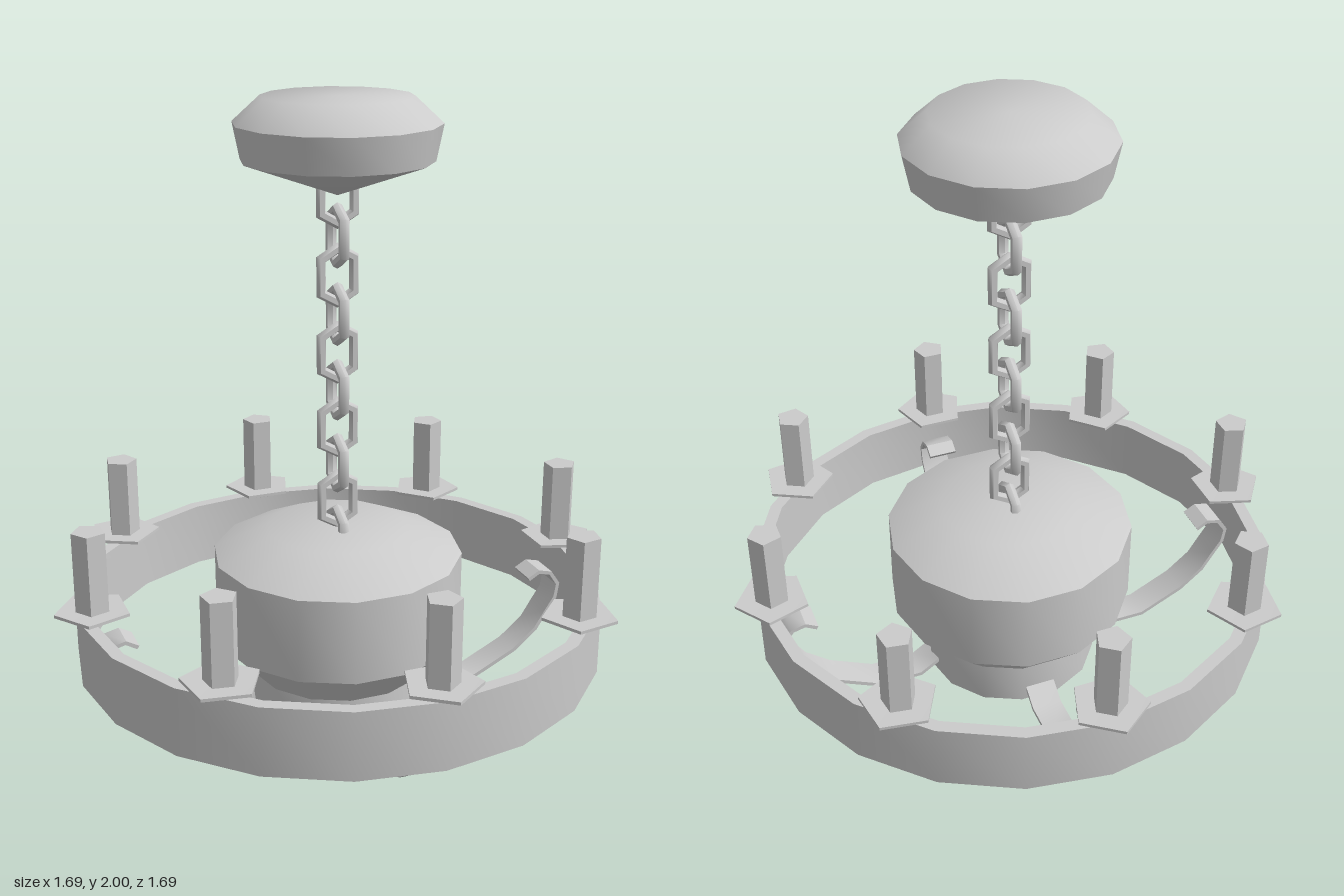
import * as THREE from 'three';
import { toCreasedNormals } from 'three/addons/utils/BufferGeometryUtils.js';

const material = new THREE.MeshStandardMaterial({ color: 0xcccccc });

function part(name, geometry, parent) {
  const mesh = new THREE.Mesh(geometry, material);
  mesh.name = name;
  parent.add(mesh);
  return mesh;
}

// Turned solid; profile runs from the bottom up along the outside
function turned(profile, sides, crease, start = 0) {
  const points = profile.map(([r, y]) => new THREE.Vector2(r, y));
  return toCreasedNormals(new THREE.LatheGeometry(points, sides, start), crease);
}

// Flat metal strip bent along a path in the (radius, height) plane
function strip(path, thickness, width) {
  const points = path.map(([r, y]) => new THREE.Vector2(r, y));
  const sides = [1, -1].map((s) => points.map((p, i) => {
    const a = points[Math.max(i - 1, 0)];
    const b = points[Math.min(i + 1, points.length - 1)];
    const d = b.clone().sub(a).normalize();
    return new THREE.Vector2(p.x - d.y * s * thickness / 2, p.y + d.x * s * thickness / 2);
  }));
  const shape = new THREE.Shape([...sides[0], ...sides[1].reverse()]);
  const geometry = new THREE.ExtrudeGeometry(shape, { depth: width, bevelEnabled: false });
  geometry.translate(0, 0, -width / 2);
  return toCreasedNormals(geometry, 0.75);
}

// Stretched six-sided chain link standing in the xy plane
function linkGeometry() {
  const geometry = new THREE.TorusGeometry(0.056, 0.016, 6, 6);
  geometry.rotateZ(Math.PI / 6);
  const pos = geometry.attributes.position;
  for (let i = 0; i < pos.count; i++) {
    pos.setY(i, pos.getY(i) + Math.sign(pos.getY(i)) * 0.02);
  }
  return toCreasedNormals(geometry, 1.1);
}

export function createModel() {
  const model = new THREE.Group();
  model.name = 'chandelier';

  // Ceiling canopy
  part('canopy', turned(
    [[0, 1.735], [0.265, 1.83], [0.285, 1.93], [0.208, 2], [0, 2]],
    14, 0.8, Math.PI / 2), model);

  // Chain of links turned a quarter each time
  const chain = new THREE.Group();
  chain.name = 'chain';
  model.add(chain);
  const link = linkGeometry();
  for (let i = 0; i < 10; i++) {
    const mesh = part('chainLink', link, chain);
    mesh.position.y = 0.74 + i * 0.1105;
    mesh.rotation.y = i % 2 ? 0 : Math.PI / 2;
  }

  // Central body with a pointed base
  part('centralBody', turned(
    [[0, 0], [0.262, 0.2], [0.262, 0.33], [0.365, 0.44], [0.365, 0.69], [0.205, 0.765], [0, 0.765]],
    14, 0.6, Math.PI / 2), model);

  // Outer band
  part('ring', turned(
    [[0.738, 0.39], [0.775, 0.39], [0.775, 0.59], [0.738, 0.59], [0.738, 0.39]],
    20, 0.6), model);

  // Curved arms from the ring to the body
  const armGeometry = strip(
    [[0.62, 0.505], [0.655, 0.525], [0.695, 0.515], [0.722, 0.475], [0.715, 0.43], [0.685, 0.385],
      [0.65, 0.33], [0.577, 0.27], [0.444, 0.205], [0.31, 0.205], [0.25, 0.245]],
    0.012, 0.09);
  for (let i = 0; i < 4; i++) {
    part('arm', armGeometry, model).rotation.y = i * Math.PI / 2;
  }

  // Five-sided candles on drip plates, each with a corner pointing outward
  const plate = turned(
    [[0, 0.588], [0.035, 0.59], [0.04, 0.608], [0.11, 0.616], [0.11, 0.625], [0, 0.622]], 5, 0.5);
  const candle = turned([[0, 0.61], [0.049, 0.61], [0.049, 0.86], [0, 0.86]], 5, 0.5);
  for (let i = 0; i < 8; i++) {
    const holder = new THREE.Group();
    holder.name = 'candleHolder';
    const angle = i * Math.PI / 4;
    holder.position.set(Math.sin(angle) * 0.733, 0, Math.cos(angle) * 0.733);
    holder.rotation.y = angle;
    part('dripPlate', plate, holder);
    part('candle', candle, holder);
    model.add(holder);
  }

  return model;
}
